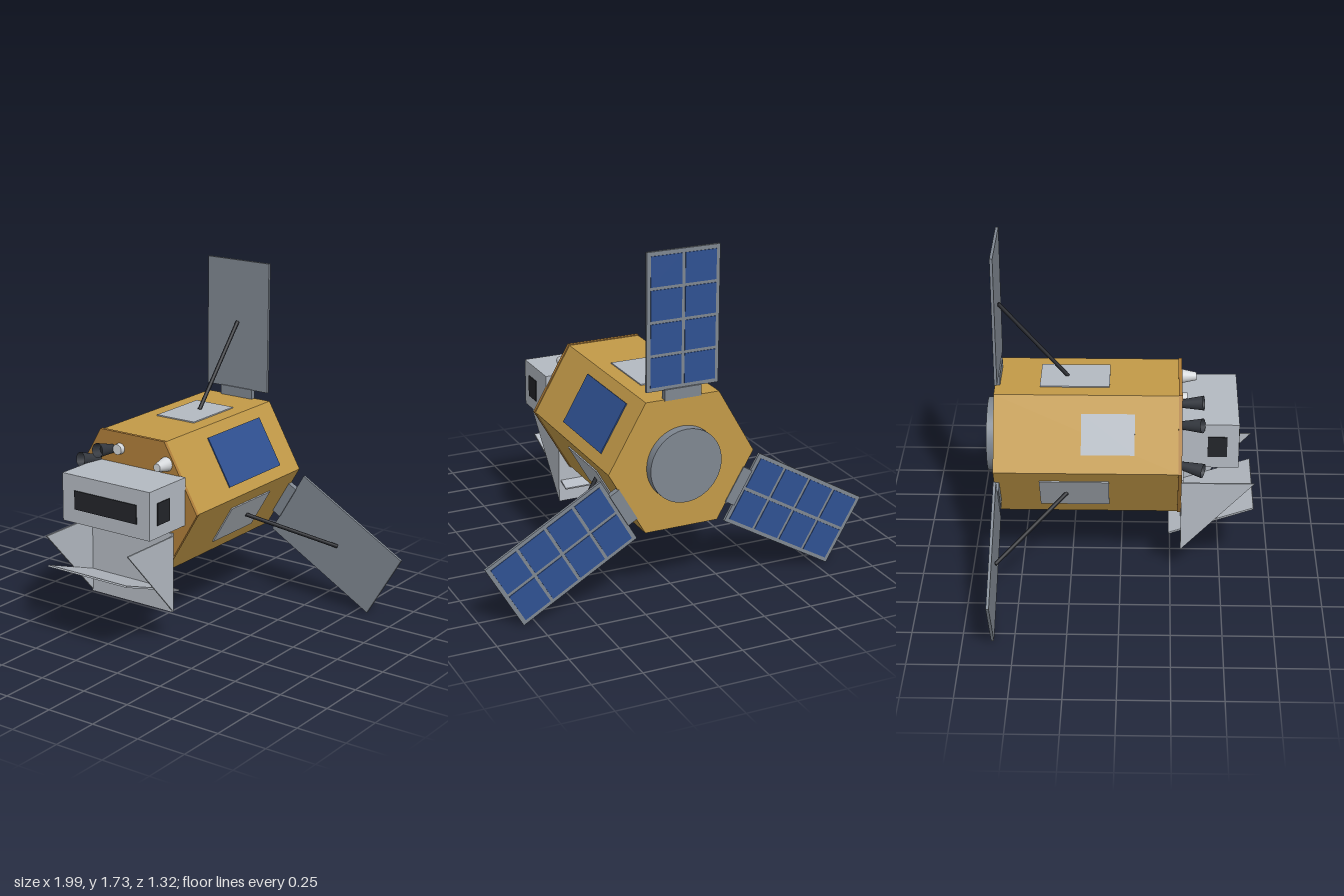
import * as THREE from 'three';

const AXIS_Y = 0.69;      // height of the body's long axis
const APOTHEM = 0.329;    // axis to flat side of the hexagon

const mat = (color, extra = {}) => new THREE.MeshStandardMaterial({ color, ...extra });
const M = {
  gold: mat(0xc39a48, { flatShading: true }),
  copper: mat(0xb07f3a, { flatShading: true }),
  frame: mat(0x7f8791),
  silver: mat(0xb4bac2),
  plate: mat(0xb4bac2, { side: THREE.DoubleSide }),
  cell: mat(0x2f5192),
  dark: mat(0x23252a),
  nozzle: mat(0x34383f, { side: THREE.DoubleSide }),
  white: mat(0xd4d7da),
};

function add(parent, name, geometry, material, x = 0, y = 0, z = 0) {
  const mesh = new THREE.Mesh(geometry, material);
  mesh.name = name;
  mesh.position.set(x, y, z);
  parent.add(mesh);
  return mesh;
}

const box = (w, h, d) => new THREE.BoxGeometry(w, h, d);

// Hexagonal prism along z with corners on the left and right
const hexPrism = (r, length) =>
  new THREE.CylinderGeometry(r, r, length, 6, 1, false, Math.PI / 6).rotateX(Math.PI / 2);

// Tapered round bar between two points
function bar(parent, name, a, b, rA, rB, material, open = false) {
  const from = new THREE.Vector3(...a), to = new THREE.Vector3(...b);
  const dir = to.clone().sub(from);
  const mesh = add(parent, name, new THREE.CylinderGeometry(rB, rA, dir.length(), 20, 1, open), material);
  mesh.position.copy(from).add(to).multiplyScalar(0.5);
  mesh.quaternion.setFromUnitVectors(new THREE.Vector3(0, 1, 0), dir.normalize());
  return mesh;
}

// Thin panel lying on one side of the hexagon
function sidePatch(body, name, degrees, width, length, z, material) {
  const pivot = new THREE.Group();
  pivot.name = name;
  pivot.rotation.z = THREE.MathUtils.degToRad(degrees);
  add(pivot, name + 'Sheet', box(width, 0.008, length), material, 0, APOTHEM + 0.002, z);
  body.add(pivot);
}

// Solar wing pointing up from the axis; turned into place by its group
function solarWing(degrees) {
  const wing = new THREE.Group();
  wing.name = 'solarWing';
  wing.rotation.z = THREE.MathUtils.degToRad(degrees);
  add(wing, 'wingFrame', box(0.37, 0.67, 0.014), M.frame, 0, 0.71, -0.604);
  add(wing, 'wingHinge', box(0.19, 0.055, 0.03), M.frame, 0, 0.351, -0.605);
  for (let col = 0; col < 2; col++)
    for (let row = 0; row < 4; row++)
      add(wing, 'solarCell', box(0.158, 0.146, 0.004), M.cell,
        (col - 0.5) * 0.174, 0.71 + (row - 1.5) * 0.161, -0.612);
  bar(wing, 'wingStrut', [0, 0.333, -0.262], [0, 0.725, -0.595], 0.01, 0.01, M.dark);
  return wing;
}

export function createModel() {
  const root = new THREE.Group();
  root.name = 'satellite';

  // Everything arranged around the long axis
  const body = new THREE.Group();
  body.name = 'body';
  body.position.y = AXIS_Y;
  root.add(body);
  add(body, 'hexBody', hexPrism(0.38, 0.905), M.gold, 0, 0, -0.1625);
  add(body, 'frontPlate', hexPrism(0.385, 0.018), M.copper, 0, 0, 0.291);
  add(body, 'rearRing', new THREE.CylinderGeometry(0.185, 0.185, 0.05, 48).rotateX(Math.PI / 2),
    M.frame, 0, 0, -0.637);
  for (const angle of [0, 120, -120]) {
    body.add(solarWing(angle));
    sidePatch(body, 'radiator', angle, 0.225, 0.34, -0.225, M.silver);
  }
  sidePatch(body, 'sideSolarPanel', -60, 0.265, 0.45, -0.245, M.cell);
  sidePatch(body, 'sidePanel', 60, 0.2, 0.26, -0.06, M.silver);

  // Instrument box with dark windows
  const instrument = new THREE.Group();
  instrument.name = 'instrument';
  root.add(instrument);
  add(instrument, 'instrumentBox', box(0.52, 0.24, 0.285), M.silver, 0.055, 0.748, 0.437);
  add(instrument, 'frontWindow', box(0.37, 0.094, 0.01), M.dark, 0.055, 0.745, 0.58);
  for (const x of [-0.205, 0.315])
    add(instrument, 'sideWindow', box(0.01, 0.11, 0.095), M.dark, x, 0.745, 0.474);

  // Sun shield: back plate, triangular cheeks and slanted shelf
  const shield = new THREE.Group();
  shield.name = 'sunShield';
  root.add(shield);
  add(shield, 'shieldBack', box(0.494, 0.405, 0.01), M.plate, 0, 0.3725, 0.305);
  const cheek = new THREE.Shape([[-0.3, 0.17], [-0.3, 0.56], [-0.66, 0.56]]
    .map(([u, v]) => new THREE.Vector2(u, v)));
  const cheekGeo = new THREE.ExtrudeGeometry(cheek, { depth: 0.008, bevelEnabled: false })
    .translate(0, 0, -0.004).rotateY(Math.PI / 2);
  for (const x of [-0.245, 0.245]) add(shield, 'shieldCheek', cheekGeo, M.plate, x);
  const shelf = add(shield, 'shieldShelf', box(0.475, 0.009, 0.446), M.plate, 0, 0.335, 0.45);
  shelf.rotation.x = -0.343;

  // Flared dark nozzles, each with a closed inner floor
  const nozzles = [
    [[-0.115, 0.935, 0.295], [-0.13, 0.948, 0.405]],
    [[-0.205, 0.865, 0.295], [-0.24, 0.883, 0.4]],
    [[-0.235, 0.655, 0.295], [-0.275, 0.648, 0.405]],
  ];
  for (const [a, b] of nozzles) {
    bar(root, 'nozzle', a, b, 0.02, 0.036, M.nozzle, true);
    bar(root, 'nozzleCore', a, a.map((v, i) => v + (b[i] - v) * 0.6), 0.018, 0.026, M.dark);
  }

  // Pale sensors and thin antenna
  bar(root, 'sensorCone', [0.205, 0.915, 0.295], [0.205, 0.915, 0.375], 0.037, 0.02, M.white);
  bar(root, 'sensorStub', [-0.072, 0.943, 0.295], [-0.072, 0.943, 0.325], 0.028, 0.026, M.white);
  bar(root, 'antenna', [0.165, 0.588, 0.295], [0.165, 0.598, 0.475], 0.012, 0.004, M.frame);
  add(root, 'frontPort', new THREE.SphereGeometry(0.011, 12, 8), M.dark, 0.225, 0.6, 0.3);

  return root;
}
